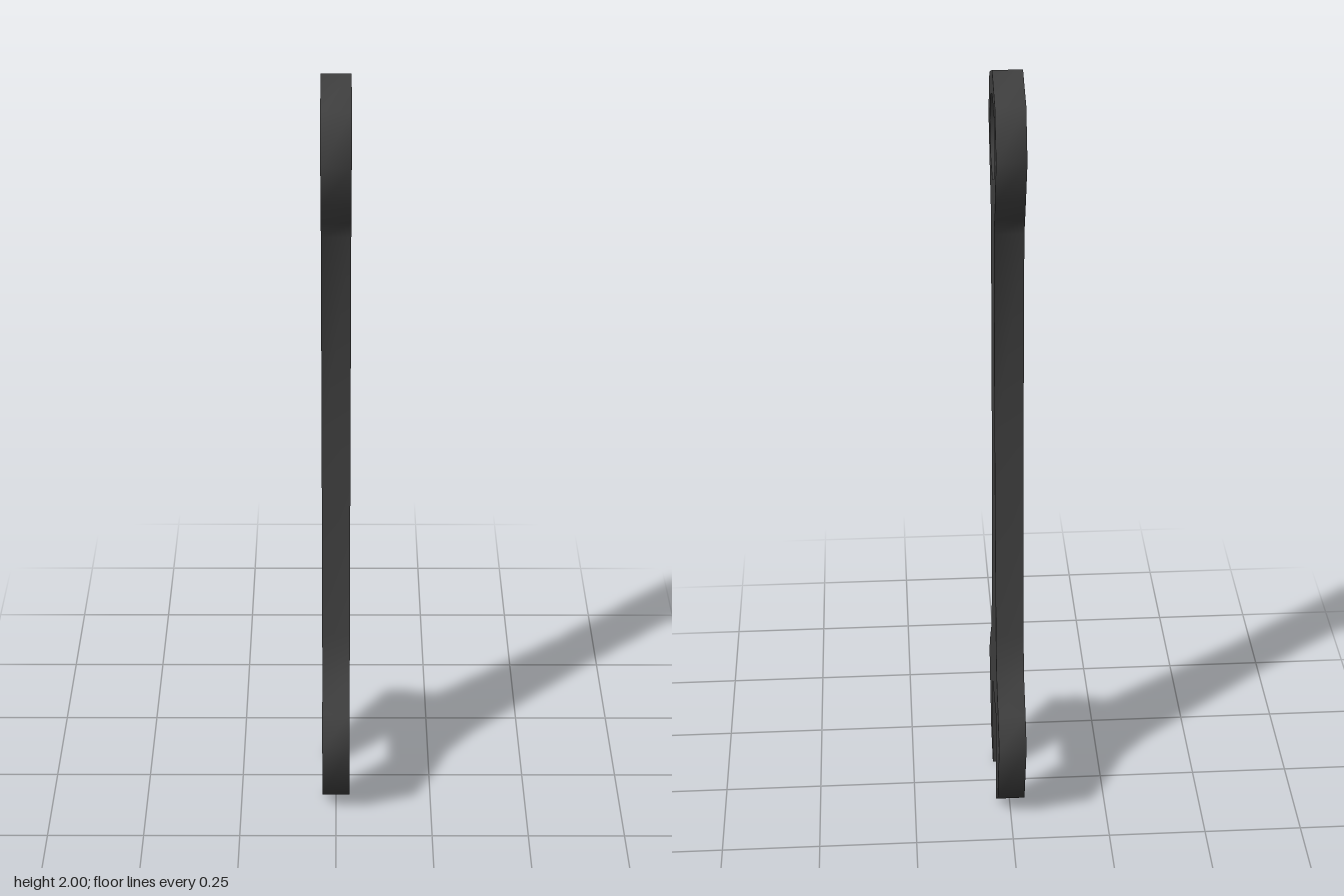
import * as THREE from 'three';
import { toCreasedNormals } from 'three/addons/utils/BufferGeometryUtils.js';

const THICKNESS = 0.07;
const RING_Y = 1.84;

// Half outline (z, y), from the notch up round the jaw, along the handle to the ring top
const halfOutline = [
  [0.08, 0.275], [0.08, 0], [0.157, 0.06], [0.229, 0.272], [0.185, 0.342],
  [0.122, 0.418], [0.095, 0.53], [0.066, 1.06], [0.066, 1.626],
  [0.09, 1.673], [0.114, 1.727], [0.16, RING_Y], [0.114, 1.955],
];

export function createModel() {
  const group = new THREE.Group();
  group.name = 'spanner';

  // Mirrored profile
  const right = halfOutline.map(([z, y]) => new THREE.Vector2(z, y));
  const left = halfOutline.map(([z, y]) => new THREE.Vector2(-z, y)).reverse();
  const shape = new THREE.Shape([...right, new THREE.Vector2(0, 2), ...left]);

  // Octagonal hole in the ring end
  const hole = [];
  for (let i = 0; i < 8; i++) {
    const a = -i * Math.PI / 4;
    hole.push(new THREE.Vector2(0.105 * Math.cos(a), RING_Y + 0.105 * Math.sin(a)));
  }
  shape.holes.push(new THREE.Path(hole));

  // Flat plate facing sideways, with softly shaded rim and sharp face edges
  const plate = new THREE.ExtrudeGeometry(shape, { depth: THICKNESS, bevelEnabled: false });
  plate.translate(0, 0, -THICKNESS / 2);
  plate.rotateY(-Math.PI / 2);

  const body = new THREE.Mesh(
    toCreasedNormals(plate, 0.9),
    new THREE.MeshStandardMaterial({ color: 0x404040 })
  );
  body.name = 'spannerBody';
  group.add(body);
  return group;
}
